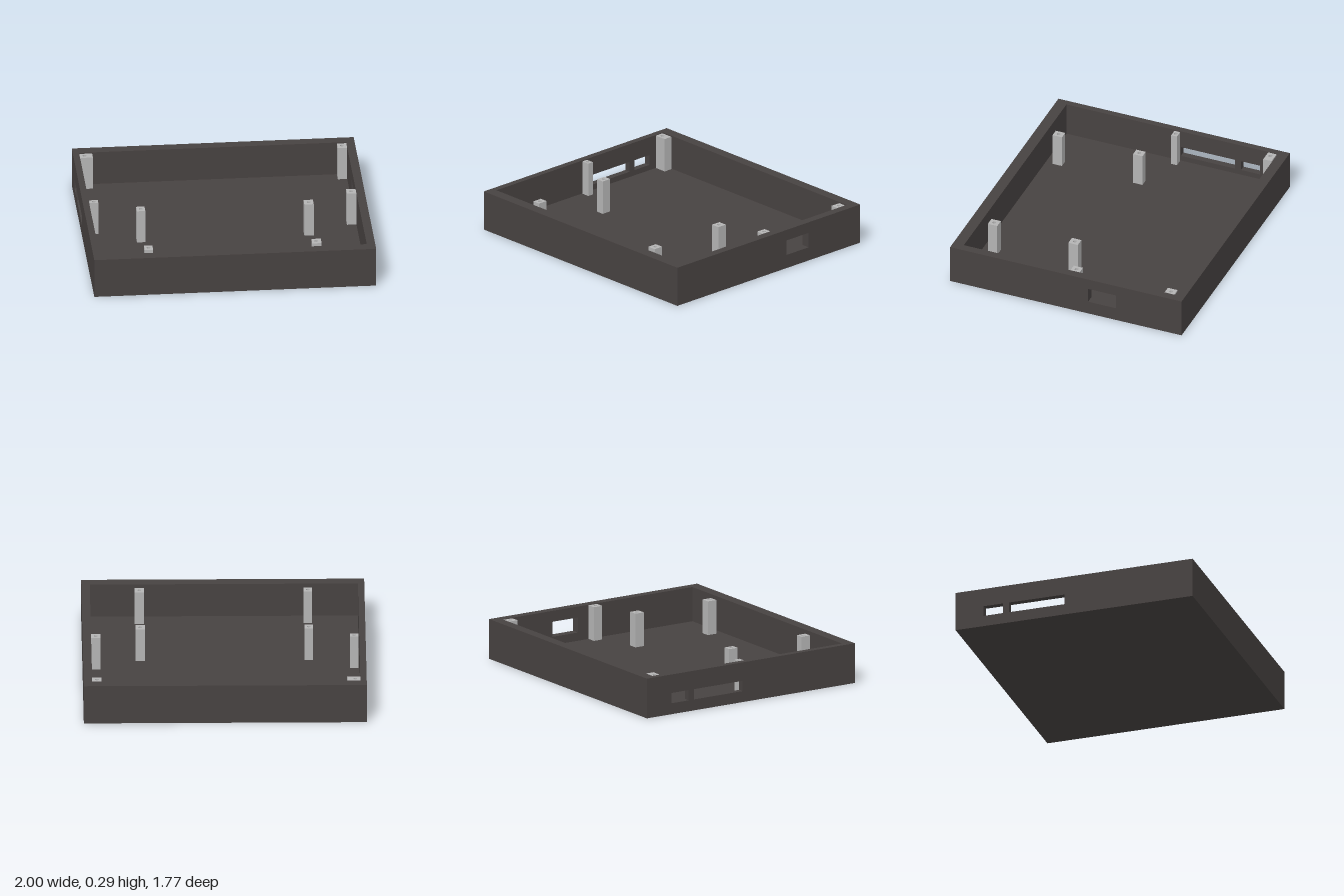
import * as THREE from 'three';

const H = 0.29, FLOOR = 0.04, HALF_Z = 0.885;
const IN = { x0: -0.955, x1: 0.94, z0: -0.81, z1: 0.805 };

function rect(T, a0, b0, a1, b1) {
  const p = new T();
  p.moveTo(a0, b0);
  p.lineTo(a1, b0);
  p.lineTo(a1, b1);
  p.lineTo(a0, b1);
  p.closePath();
  return p;
}

export function createModel() {
  const group = new THREE.Group();
  const shell = new THREE.MeshStandardMaterial({ color: 0x474241 });
  shell.name = 'dark shell';
  const postGrey = new THREE.MeshStandardMaterial({ color: 0xb4b4b4 });
  postGrey.name = 'post grey';

  const add = (name, geometry, material, parent = group) => {
    const mesh = new THREE.Mesh(geometry, material);
    mesh.name = name;
    parent.add(mesh);
    return mesh;
  };

  // Box between two corners
  const slab = (name, x0, y0, z0, x1, y1, z1) => {
    const g = new THREE.BoxGeometry(x1 - x0, y1 - y0, z1 - z0);
    g.translate((x0 + x1) / 2, (y0 + y1) / 2, (z0 + z1) / 2);
    add(name, g, shell);
  };

  slab('floor', IN.x0, 0, IN.z0, IN.x1, FLOOR, IN.z1);
  slab('frontWall', IN.x0, 0, IN.z1, IN.x1, H, HALF_Z);
  slab('backWall', IN.x0, 0, -HALF_Z, IN.x1, H, IN.z0);

  // Side walls with connector cutouts given as [z0, y0, z1, y1]
  const sideWall = (name, x0, x1, cutouts) => {
    const shape = rect(THREE.Shape, -HALF_Z, 0, HALF_Z, H);
    for (const c of cutouts) shape.holes.push(rect(THREE.Path, ...c));
    const g = new THREE.ExtrudeGeometry(shape, { depth: x1 - x0, bevelEnabled: false });
    g.rotateY(-Math.PI / 2);
    g.translate(x1, 0, 0);
    add(name, g, shell);
  };
  sideWall('leftWall', IN.x1, 1, [[-0.385, 0.1, -0.17, 0.21]]);
  sideWall('rightWall', -1, IN.x0, [
    [-0.485, 0.08, -0.07, 0.155],
    [-0.675, 0.08, -0.53, 0.155],
  ]);

  // Mounting posts: x0, x1, z0, z1, screw hole x, screw hole z
  const posts = [
    [-0.955, -0.863, -0.802, -0.738, -0.92, -0.77],
    [0.873, 0.94, -0.802, -0.728, 0.906, -0.767],
    [-0.95, -0.89, -0.067, -0.023, -0.92, -0.045],
    [0.873, 0.94, -0.078, -0.008, 0.906, -0.043],
  ];
  for (const [x0, x1] of [[-0.63, -0.57], [0.558, 0.625]]) {
    for (const z of [0.1, 0.716]) {
      posts.push([x0, x1, z - 0.036, z + 0.036, (x0 + x1) / 2, z]);
    }
  }

  const TOP = 0.286, R = 0.013, HOLE_DEPTH = 0.08;
  posts.forEach(([x0, x1, z0, z1, hx, hz], i) => {
    const post = new THREE.Group();
    post.name = `mountingPost${i + 1}`;
    const shape = rect(THREE.Shape, x0, -z1, x1, -z0);
    const hole = new THREE.Path();
    hole.absarc(hx, -hz, R, 0, Math.PI * 2, true);
    shape.holes.push(hole);
    const g = new THREE.ExtrudeGeometry(shape, { depth: TOP - FLOOR, bevelEnabled: false, curveSegments: 16 });
    g.rotateX(-Math.PI / 2);
    g.translate(0, FLOOR, 0);
    add('shaft', g, postGrey, post);
    // Bottom of the blind screw hole
    const bottom = new THREE.CircleGeometry(R, 16);
    bottom.rotateX(-Math.PI / 2);
    bottom.translate(hx, TOP - HOLE_DEPTH, hz);
    add('screwHoleBottom', bottom, postGrey, post);
    group.add(post);
  });

  return group;
}
